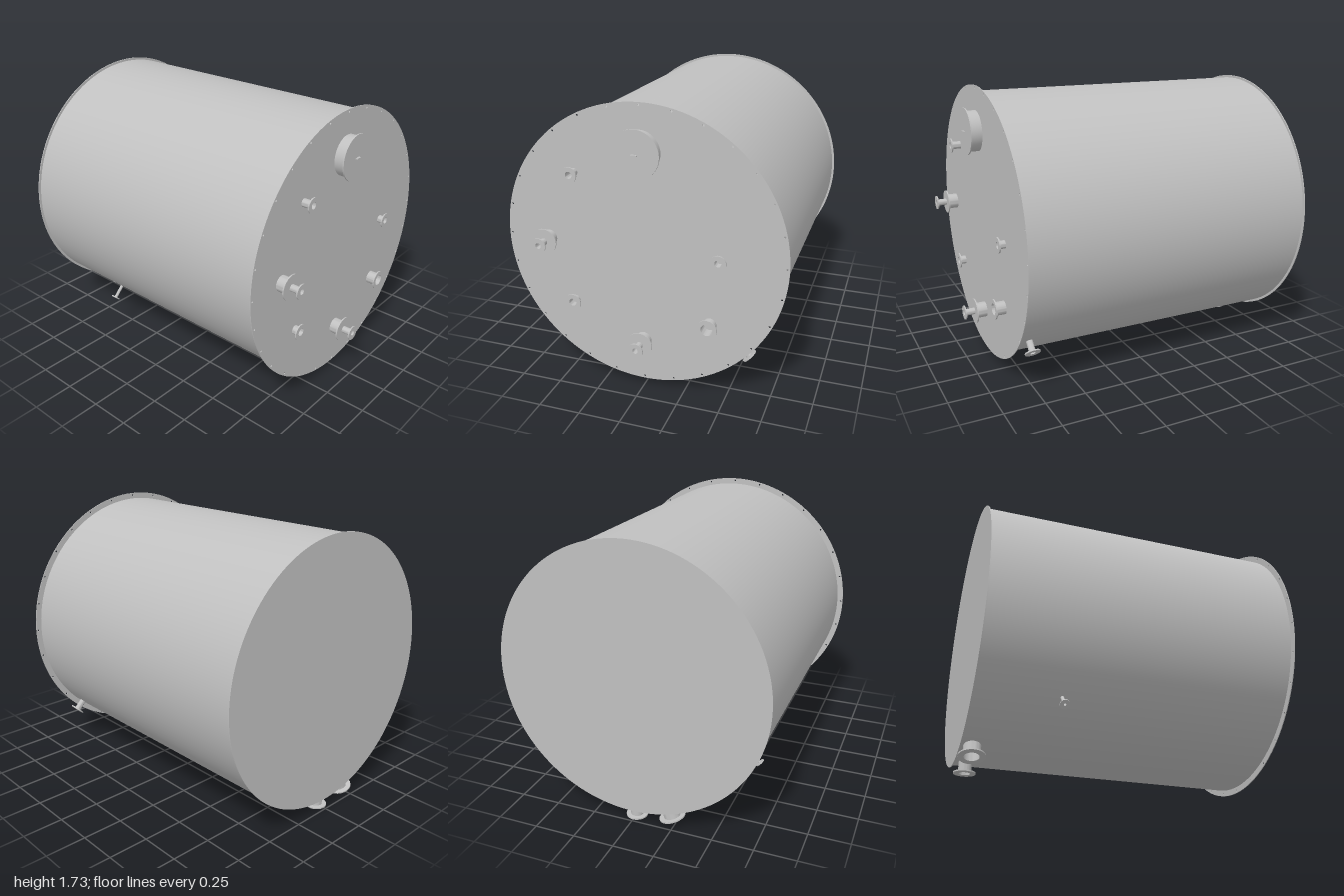
import * as THREE from 'three';
import { toCreasedNormals } from 'three/addons/utils/BufferGeometryUtils.js';

const CY = 0.885; // height of the tank axis
const R = 0.807;
const FRONT = 0.86, BACK = -0.99;

export function createModel() {
  const root = new THREE.Group();
  root.name = 'tank';
  const steel = new THREE.MeshStandardMaterial({ color: 0xc0c0c0 });
  steel.name = 'grey steel';

  // Revolved part, axis along +y
  function turned(name, pts, segments = 40) {
    const geo = new THREE.LatheGeometry(pts.map(([x, y]) => new THREE.Vector2(x, y)), segments);
    const mesh = new THREE.Mesh(toCreasedNormals(geo, 0.6), steel);
    mesh.name = name;
    return mesh;
  }

  // Pipe stub with a flange at its outer end; a bore of 0 makes a blind cover
  function stub(name, pipe, flange, bore, length, t = 0.008) {
    const pts = [[pipe, 0], [pipe, length - t], [flange, length - t], [flange, length], [bore, length]];
    if (bore > 0) pts.push([bore, 0]);
    return turned(name, pts);
  }

  // Shell, open at the front where the cover closes it
  const shell = turned('shell', [[R, BACK], [R, FRONT]], 128);
  shell.rotation.x = Math.PI / 2;
  shell.position.y = CY;
  root.add(shell);

  // Back plate with a slightly projecting rim
  const back = turned('backPlate', [[0, -0.99], [0.822, -0.99], [0.822, -0.984], [R - 0.01, -0.984]], 128);
  back.rotation.x = Math.PI / 2;
  back.position.y = CY;
  root.add(back);

  // Front cover with a ring of bolt holes
  const disc = new THREE.Shape();
  disc.absarc(0, 0, 0.845, 0, Math.PI * 2, false);
  const bolts = 28;
  for (let i = 0; i < bolts; i++) {
    const a = Math.PI / 2 + (i / bolts) * Math.PI * 2;
    const hole = new THREE.Path();
    hole.absarc(0.83 * Math.cos(a), 0.83 * Math.sin(a), 0.006, 0, Math.PI * 2, true);
    disc.holes.push(hole);
  }
  const coverGeo = new THREE.ExtrudeGeometry(disc, { depth: 0.005, bevelEnabled: false, curveSegments: 64 });
  const cover = new THREE.Mesh(toCreasedNormals(coverGeo, 0.6), steel);
  cover.name = 'frontCover';
  cover.position.set(0, CY, FRONT - 0.004);
  root.add(cover);

  function onFront(part, x, y, z = FRONT) {
    part.rotation.x = Math.PI / 2;
    part.position.set(x, y, z);
    root.add(part);
  }

  // Manhole with its handle
  onFront(stub('manhole', 0.122, 0.14, 0, 0.073), 0, 1.46);
  const handle = new THREE.Mesh(new THREE.BoxGeometry(0.036, 0.006, 0.014), steel);
  handle.name = 'manholeHandle';
  handle.position.set(0, 1.46, FRONT + 0.08);
  root.add(handle);

  // Reducing nozzles: a wide stub carrying a narrow one
  for (const [x, y] of [[-0.58, 0.885], [0, 0.307]]) {
    onFront(stub('nozzleBase', 0.048, 0.077, 0, 0.073), x, y);
    onFront(stub('nozzleOutlet', 0.021, 0.045, 0.017, 0.072), x, y, FRONT + 0.068);
  }

  // Plain front nozzles: x, y, pipe, flange, bore, length
  for (const [x, y, p, f, b, l] of [
    [-0.4, 1.305, 0.024, 0.046, 0.02, 0.066],
    [0.46, 0.885, 0.024, 0.046, 0.02, 0.046],
    [-0.432, 0.502, 0.027, 0.05, 0.023, 0.046],
    [0.405, 0.478, 0.04, 0.06, 0.035, 0.068],
  ]) onFront(stub('frontNozzle', p, f, b, l), x, y);

  // Radial nozzles below: angle from straight down, z, pipe, flange, bore, outer radius
  for (const [name, deg, z, p, f, b, end] of [
    ['bottomDrain', 0, -0.922, 0.038, 0.065, 0.032, 0.885],
    ['bottomOutlet', -15, -0.918, 0.05, 0.079, 0.044, 0.88],
    ['sideNozzleLeft', 45, 0.772, 0.02, 0.047, 0.016, 0.882],
    ['sideNozzleRight', -45, -0.5, 0.01, 0.029, 0.007, 0.9],
  ]) {
    const a = THREE.MathUtils.degToRad(deg);
    const dir = new THREE.Vector3(Math.sin(a), -Math.cos(a), 0);
    const start = 0.79;
    const part = stub(name, p, f, b, end - start);
    part.rotation.z = Math.PI + a;
    part.position.copy(dir).multiplyScalar(start).add(new THREE.Vector3(0, CY, z));
    root.add(part);
  }

  return root;
}
